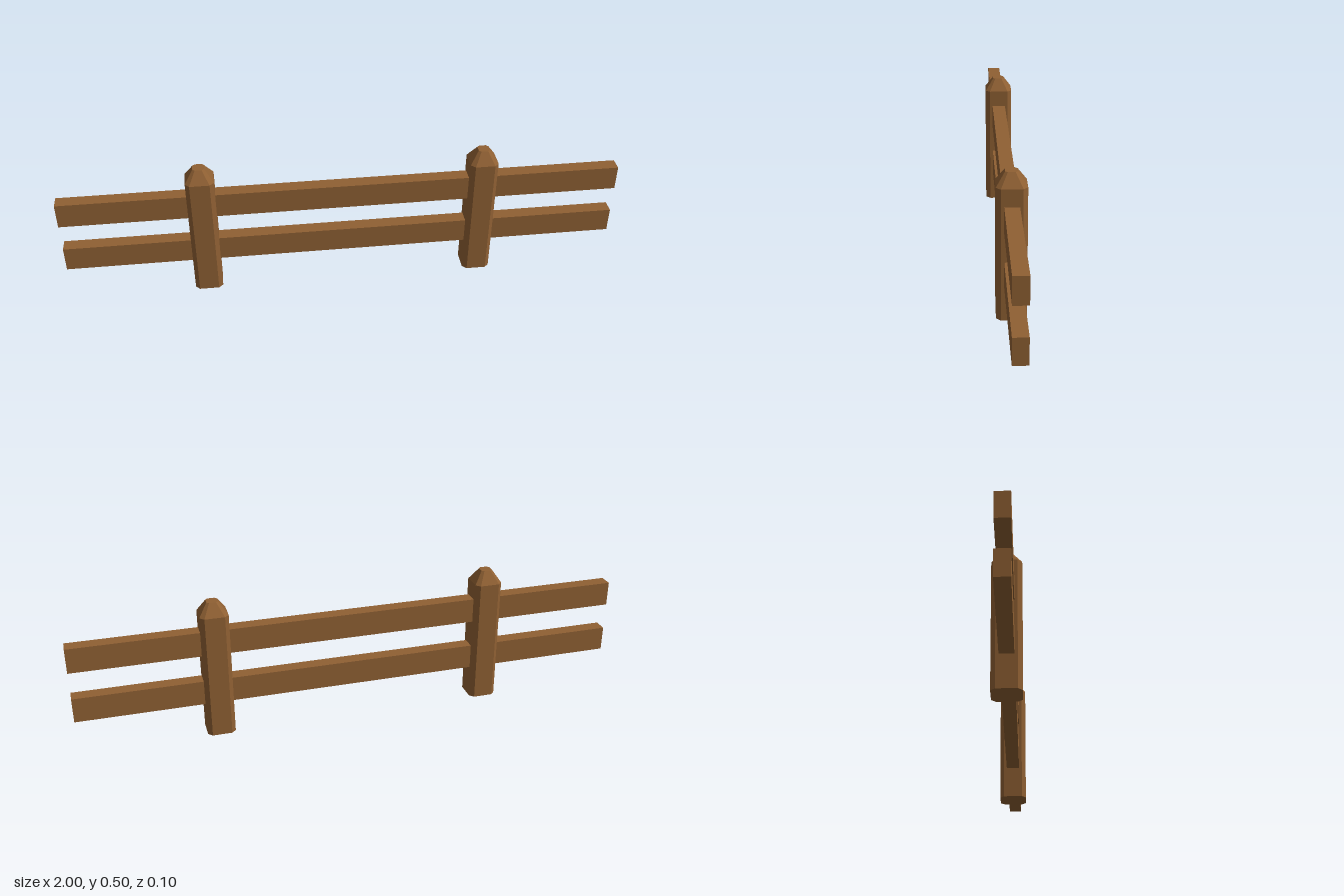
import * as THREE from 'three';

// Square section with cut corners: h = half width, f = half length of the flat side
function section(h, f, y) {
  return [[h, -f], [h, f], [f, h], [-f, h], [-h, f], [-h, -f], [-f, -h], [f, -h]]
    .map(([x, z]) => [x, y, z]);
}

// Flat-faced solid through a stack of sections, closed at both ends
function loft(rings) {
  const pos = [];
  const tri = (...pts) => pts.forEach((p) => pos.push(...p));
  const n = rings[0].length;
  const low = rings[0], high = rings[rings.length - 1];
  for (let i = 0; i < n; i++) {
    const j = (i + 1) % n;
    for (let r = 0; r < rings.length - 1; r++) {
      const a = rings[r], b = rings[r + 1];
      tri(a[i], b[i], b[j]);
      tri(a[i], b[j], a[j]);
    }
    tri([0, low[0][1], 0], low[i], low[j]);
    tri([0, high[0][1], 0], high[j], high[i]);
  }
  const geo = new THREE.BufferGeometry();
  geo.setAttribute('position', new THREE.Float32BufferAttribute(pos, 3));
  geo.computeVertexNormals();
  return geo;
}

export function createModel() {
  const fence = new THREE.Group();
  fence.name = 'fence';
  const wood = new THREE.MeshStandardMaterial({ color: 0x8f6033 });
  wood.name = 'brown wood';

  // Posts with chamfered corners and a tapered top
  const postGeo = loft([
    section(0.05, 0.035, 0),
    section(0.05, 0.035, 0.457),
    section(0.02, 0.012, 0.502),
  ]);
  for (const [name, x] of [['rightPost', -0.5], ['leftPost', 0.5]]) {
    const post = new THREE.Mesh(postGeo, wood);
    post.name = name;
    post.position.x = x;
    fence.add(post);
  }

  // Rails running through both posts
  const railGeo = new THREE.BoxGeometry(2, 0.09, 0.049);
  for (const [name, y] of [['lowerRail', 0.163], ['upperRail', 0.352]]) {
    const rail = new THREE.Mesh(railGeo, wood);
    rail.name = name;
    rail.position.y = y;
    fence.add(rail);
  }
  return fence;
}
